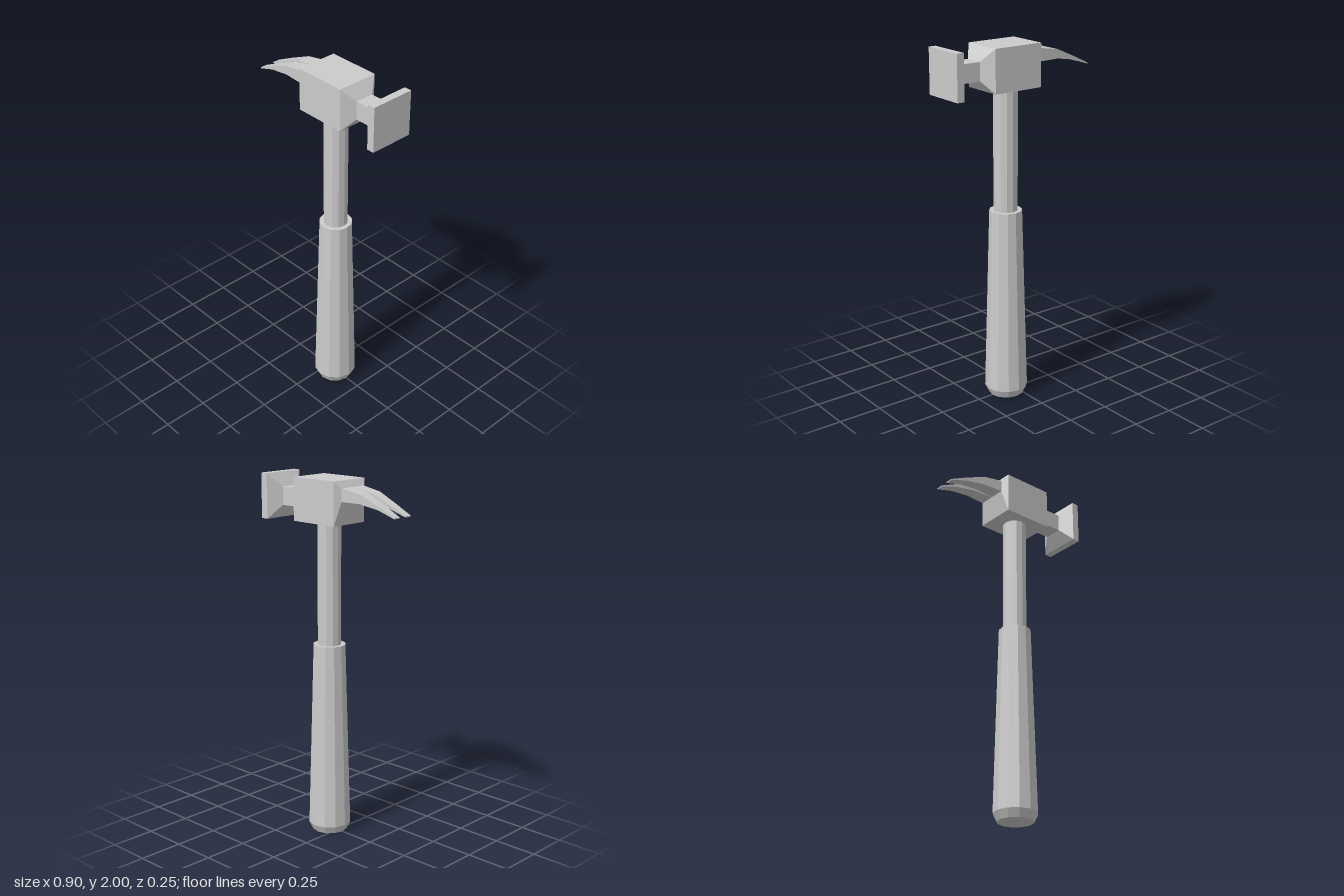
import * as THREE from 'three';

const material = new THREE.MeshStandardMaterial({ color: 0xcccccc, flatShading: true });

// Closed loft through rectangles set along x: [x, yBottom, yTop, zBack, zFront], x rising
function loftX(sections) {
  const positions = [];
  const index = [];
  for (const [x, y0, y1, z0, z1] of sections) {
    positions.push(x, y0, z1, x, y0, z0, x, y1, z0, x, y1, z1);
  }
  const quad = (a, b, c, d) => index.push(a, b, c, a, c, d);
  for (let s = 0; s < sections.length - 1; s++) {
    for (let k = 0; k < 4; k++) {
      const a = s * 4 + k;
      const b = s * 4 + (k + 1) % 4;
      quad(a, b, b + 4, a + 4);
    }
  }
  const e = (sections.length - 1) * 4;
  quad(3, 2, 1, 0);
  quad(e, e + 1, e + 2, e + 3);
  const indexed = new THREE.BufferGeometry();
  indexed.setAttribute('position', new THREE.Float32BufferAttribute(positions, 3));
  indexed.setIndex(index);
  const geometry = indexed.toNonIndexed();
  geometry.computeVertexNormals();
  return geometry;
}

export function createModel() {
  const model = new THREE.Group();
  const add = (name, geometry, x = 0, y = 0) => {
    const mesh = new THREE.Mesh(geometry, material);
    mesh.name = name;
    mesh.position.set(x, y, 0);
    model.add(mesh);
  };
  const handleX = 0.06;
  const sides = 12;

  // Grip with a chamfered butt
  const gripProfile = [[0, 0], [0.098, 0], [0.12, 0.045], [0.09, 1.088], [0, 1.088]];
  add('grip', new THREE.LatheGeometry(gripProfile.map(([r, y]) => new THREE.Vector2(r, y)), sides), handleX);

  // Shaft from the grip up into the head
  add('shaft', new THREE.CylinderGeometry(0.066, 0.066, 0.8, sides), handleX, 1.42);

  // Head block, neck and striking face as one stepped loft
  const block = (x, y0, y1, z) => [x, y0, y1, -z, z];
  add('head', loftX([
    block(-0.11, 1.89, 1.96, 0.085),
    block(-0.085, 1.762, 1.996, 0.117),
    block(0.21, 1.762, 1.996, 0.117),
    block(0.26, 1.826, 1.926, 0.052),
    block(0.36, 1.826, 1.926, 0.052),
    block(0.41, 1.752, 2.0, 0.124),
    block(0.452, 1.752, 2.0, 0.124),
  ]));

  // Pair of tapering claws curving down: [x, yBottom, yTop]
  const clawProfile = [
    [-0.452, 1.834, 1.84], [-0.35, 1.869, 1.888], [-0.23, 1.89, 1.94], [-0.11, 1.89, 1.96],
  ];
  for (const side of [-1, 1]) {
    add(side > 0 ? 'frontClaw' : 'backClaw', loftX(clawProfile.map(([x, y0, y1]) => {
      const t = (x + 0.452) / 0.342;
      const inner = THREE.MathUtils.lerp(0.022, 0.001, t) * side;
      const outer = THREE.MathUtils.lerp(0.063, 0.085, t) * side;
      return [x, y0, y1, Math.min(inner, outer), Math.max(inner, outer)];
    })));
  }
  return model;
}
